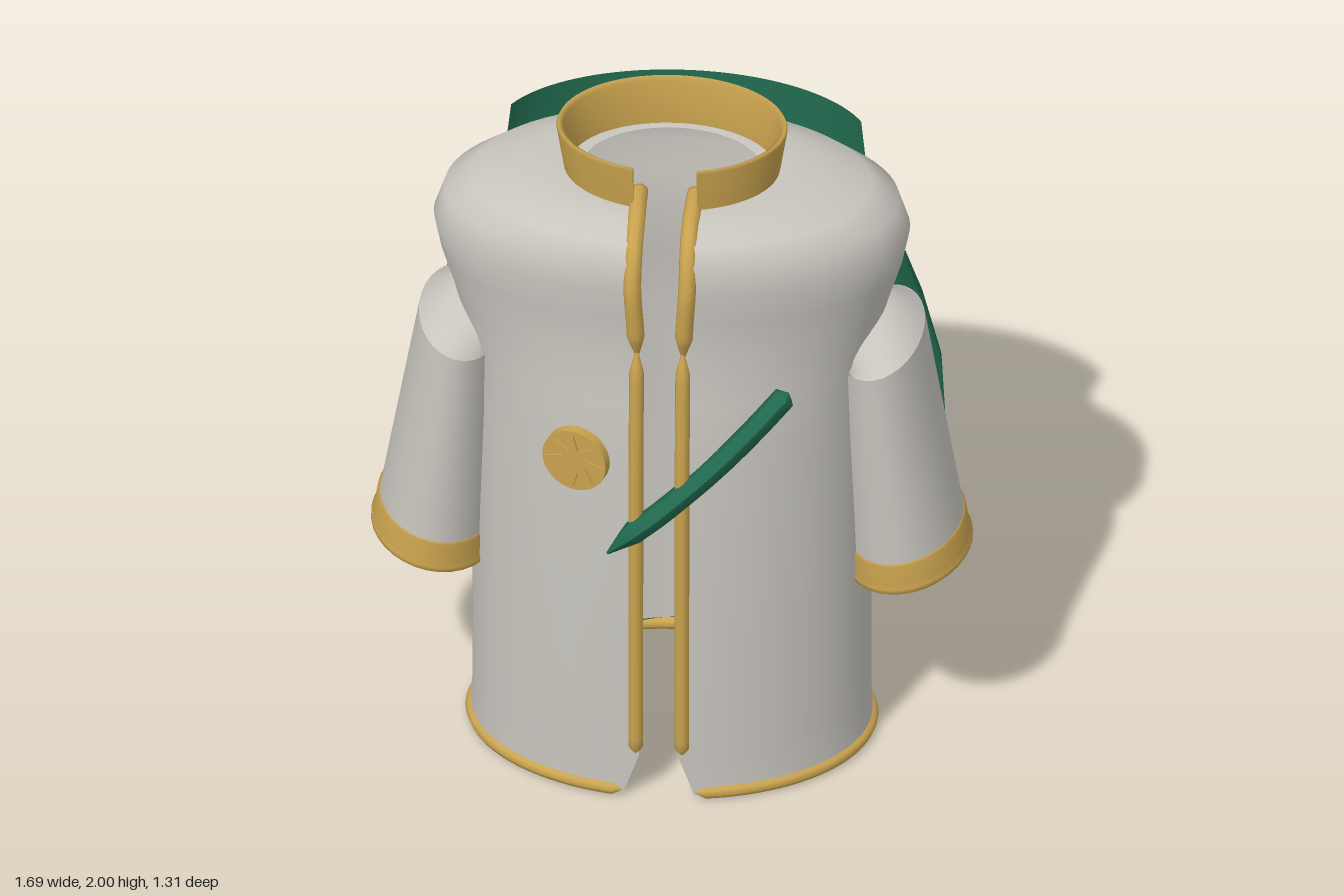
import * as THREE from 'three';

const CZ = 0.185; // depth of the coat's vertical axis

// Surface through rows of points; closed joins the last column to the first
function skin(rows, closed = false) {
  const n = rows[0].length, idx = [];
  for (let i = 0; i < rows.length - 1; i++) {
    for (let j = 0; j < (closed ? n : n - 1); j++) {
      const k = (j + 1) % n, a = i * n + j, b = i * n + k, c = a + n, d = b + n;
      idx.push(a, b, c, b, d, c);
    }
  }
  const g = new THREE.BufferGeometry();
  g.setAttribute('position', new THREE.Float32BufferAttribute(rows.flat(2), 3));
  g.setIndex(idx);
  g.computeVertexNormals();
  return g;
}

// Elliptical wall, open at the front; rows are [y, rx, rz, half gap]
function openWall(rows, n = 64) {
  return skin(rows.map(([y, rx, rz, gap]) => {
    const a = Math.asin(gap / rx);
    return Array.from({ length: n + 1 }, (_, j) => {
      const t = a + (2 * Math.PI - 2 * a) * j / n;
      return [rx * Math.sin(t), y, CZ + rz * Math.cos(t)];
    });
  }));
}

// Sleeve rings are [x, y, r, rz, tilt]
function sleeveSkin(rings, s, n = 32) {
  return skin(rings.map(([x, y, r, rz, tilt]) =>
    Array.from({ length: n }, (_, j) => {
      const t = 2 * Math.PI * j / n, u = r * Math.cos(t);
      return [s * (x + u * Math.cos(tilt)), y + u * Math.sin(tilt), CZ + rz * Math.sin(t)];
    })), true);
}

// Tube along points whose radius follows a function of 0..1
function taperedTube(points, radius, sides = 10, n = 48) {
  const path = new THREE.CatmullRomCurve3(points.map(p => new THREE.Vector3(...p)));
  const g = new THREE.TubeGeometry(path, n, 1, sides);
  const pos = g.attributes.position, v = new THREE.Vector3();
  for (let i = 0; i < pos.count; i++) {
    const t = Math.floor(i / (sides + 1)) / n, c = path.getPointAt(t);
    v.fromBufferAttribute(pos, i).sub(c).multiplyScalar(radius(t)).add(c);
    pos.setXYZ(i, v.x, v.y, v.z);
  }
  g.computeVertexNormals();
  return g;
}

export function createModel() {
  const model = new THREE.Group();
  model.name = 'coatWithCape';
  const mat = (name, color) =>
    Object.assign(new THREE.MeshStandardMaterial({ color, side: THREE.DoubleSide }), { name });
  const cloth = mat('greyCloth', 0xc8c5be);
  const gold = mat('goldTrim', 0xc8a24e);
  const green = mat('greenCloth', 0x216a4f);
  const add = (name, geometry, material, parent = model) => {
    const m = new THREE.Mesh(geometry, material);
    m.name = name;
    parent.add(m);
    return m;
  };

  // Coat body, open down the front
  add('coatBody', openWall([
    [0.01, 0.565, 0.425, 0.1], [0.14, 0.56, 0.425, 0.055], [0.6, 0.56, 0.425, 0.055],
    [1.1, 0.56, 0.415, 0.055], [1.3, 0.575, 0.395, 0.055], [1.45, 0.61, 0.375, 0.055],
    [1.58, 0.65, 0.385, 0.06], [1.68, 0.67, 0.395, 0.065], [1.77, 0.64, 0.39, 0.07],
    [1.82, 0.56, 0.355, 0.07], [1.85, 0.43, 0.29, 0.075], [1.86, 0.32, 0.235, 0.08],
    [1.855, 0.25, 0.192, 0.08],
  ]), cloth);

  // Rolled hem
  const hem = [];
  for (let i = 0; i <= 48; i++) {
    const t = 0.18 + (2 * Math.PI - 0.36) * i / 48;
    hem.push([0.562 * Math.sin(t), 0.018, CZ + 0.424 * Math.cos(t)]);
  }
  add('hem', taperedTube(hem, t => (t === 0 || t === 1 ? 0 : 0.018), 8, 96), gold);

  // Standing collar with wall thickness and closed ends
  const collar = [
    [1.845, 0.302, 0.228, 0.09], [1.99, 0.325, 0.246, 0.09], [2.0, 0.32, 0.241, 0.09],
    [1.99, 0.305, 0.226, 0.09], [1.845, 0.285, 0.211, 0.09], [1.845, 0.302, 0.228, 0.09],
  ];
  add('collar', openWall(collar), gold);
  for (const s of [1, -1]) {
    const end = (i) => {
      const [y, rx, rz, gap] = collar[i];
      return [s * gap, y, CZ + rz * Math.sqrt(1 - (gap / rx) ** 2)];
    };
    add('collarEnd', skin([[end(0), end(4)], [end(1), end(3)]]), gold);
  }

  // Front edging: a long lower roll and a shorter one running over the chest to the neck
  const ends = (r, taper) => t => r * Math.min(1, t / 0.015, (1 - t) / taper);
  for (const s of [1, -1]) {
    add('lowerEdging', taperedTube(
      [[s * 0.065, 0.14, 0.602], [s * 0.065, 0.6, 0.602], [s * 0.065, 1.1, 0.597],
        [s * 0.065, 1.3, 0.585], [s * 0.065, 1.5, 0.57]], ends(0.021, 0.06)), gold);
    add('upperEdging', taperedTube(
      [[s * 0.065, 1.47, 0.565], [s * 0.07, 1.58, 0.576], [s * 0.077, 1.7, 0.575],
        [s * 0.077, 1.8, 0.53], [s * 0.077, 1.85, 0.44], [s * 0.08, 1.862, 0.31]],
      t => 0.025 * Math.min(1, 0.25 + t / 0.15, (1 - t) / 0.015)), gold);
  }

  // Sleeves with shoulder ends reaching inside the coat, and cuffs
  for (const s of [1, -1]) {
    const sleeve = new THREE.Group();
    sleeve.name = s > 0 ? 'leftSleeve' : 'rightSleeve';
    model.add(sleeve);
    const low = [0.67, 0.605, 0.17, 0.228, 0.2], high = [0.59, 1.325, 0.125, 0.24, 0.25];
    const ring = (t, grow) => low.map((a, i) =>
      a + (high[i] - a) * t + (i === 2 || i === 3 ? grow : 0));
    add('sleeveTube', sleeveSkin([0.005, 0.35, 0.7, 1].map(t => ring(t, 0)), s), cloth, sleeve);
    add('sleeveShoulder', sleeveSkin([
      high, [0.53, 1.335, 0.13, 0.17, 0.9],
      [0.38, 1.31, 0.12, 0.16, 1.5], [0.13, 1.24, 0.1, 0.14, 1.57],
    ], s), cloth, sleeve);
    add('cuff', sleeveSkin([
      ring(0.03, -0.014), ring(0, -0.012), ring(-0.01, 0), ring(0, 0.01), ring(0.02, 0.012),
      ring(0.035, 0.006), ring(0.125, 0.007), ring(0.132, -0.002),
    ], s), gold, sleeve);
  }

  // Billowing cape, rows are [y, half width, back z, edge z], with stepped upper edges
  const capeAxis = -0.14;
  add('cape', skin([
    [0.065, 0.13, -0.2, -0.185], [0.03, 0.22, -0.25, -0.2], [0.06, 0.33, -0.3, -0.2],
    [0.1, 0.41, -0.36, -0.19], [0.2, 0.52, -0.47, -0.19], [0.3, 0.59, -0.535, -0.18],
    [0.4, 0.65, -0.585, -0.165], [0.6, 0.715, -0.637, -0.185], [0.8, 0.74, -0.655, -0.18],
    [1.0, 0.73, -0.638, -0.165], [1.2, 0.68, -0.59, -0.155], [1.33, 0.635, -0.54, -0.15],
    [1.331, 0.635, -0.54, -0.205], [1.4, 0.6, -0.51, -0.205], [1.48, 0.56, -0.48, -0.195],
    [1.6, 0.54, -0.475, -0.195], [1.601, 0.54, -0.475, -0.255], [1.73, 0.53, -0.48, -0.265],
  ].map(([y, w, back, edge]) => {
    const max = Math.acos((capeAxis - edge) / (capeAxis - back));
    return Array.from({ length: 41 }, (_, j) => {
      const t = max * (1 - j / 20);
      return [w * Math.sin(t), y, capeAxis - (capeAxis - back) * Math.cos(t)];
    });
  })), green);

  // Diagonal sash across the chest
  add('sash', taperedTube(
    [[-0.145, 0.815, 0.6], [-0.07, 0.9, 0.615], [0, 0.965, 0.617], [0.15, 1.11, 0.595],
      [0.26, 1.23, 0.57], [0.36, 1.345, 0.535]],
    t => (t === 1 ? 0 : Math.min(0.034, 0.004 + t * 0.2)), 6, 40), green);

  // Round chest badge with an eight-pointed star
  const badge = new THREE.Group();
  badge.name = 'badge';
  badge.position.set(-0.235, 1.12, 0.582);
  badge.rotation.y = -0.33;
  model.add(badge);
  add('badgeDisc', new THREE.CylinderGeometry(0.097, 0.097, 0.03, 32).rotateX(Math.PI / 2), gold, badge);
  const star = new THREE.Shape(Array.from({ length: 16 }, (_, i) => {
    const r = i % 2 ? 0.037 : 0.083, a = i * Math.PI / 8;
    return new THREE.Vector2(r * Math.sin(a), r * Math.cos(a));
  }));
  add('badgeStar', new THREE.ExtrudeGeometry(star, { depth: 0.008, bevelEnabled: false }), gold, badge)
    .position.z = 0.014;

  return model;
}
